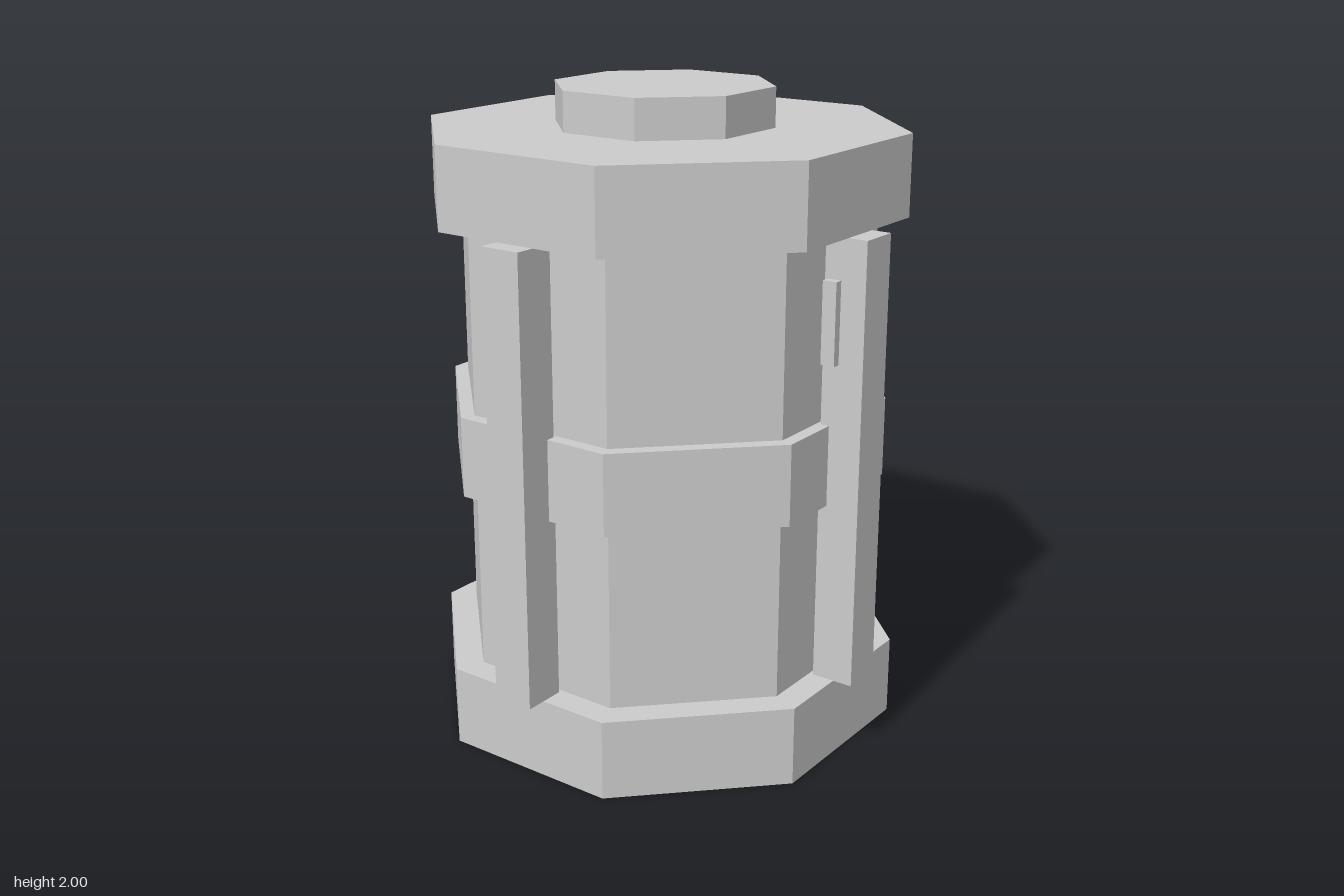
import * as THREE from 'three';

export function createModel() {
  const group = new THREE.Group();
  group.name = 'octagonalCanister';
  const grey = new THREE.MeshStandardMaterial({ color: 0xcccccc, flatShading: true });
  grey.name = 'plain grey';

  const add = (name, geometry, parent = group) => {
    const mesh = new THREE.Mesh(geometry, grey);
    mesh.name = name;
    parent.add(mesh);
    return mesh;
  };

  // Octagonal prism with flat sides facing the axes, sized by its half width
  const octagon = (name, halfWidth, y0, y1) => {
    const r = halfWidth / Math.cos(Math.PI / 8);
    const geometry = new THREE.CylinderGeometry(r, r, y1 - y0, 8, 1, false, Math.PI / 8);
    add(name, geometry).position.y = (y0 + y1) / 2;
  };

  octagon('base', 0.692, 0, 0.25);
  octagon('body', 0.607, 0.25, 1.628);
  octagon('middleBand', 0.648, 0.813, 1.063);
  octagon('lid', 0.692, 1.628, 1.878);
  octagon('topKnob', 0.316, 1.878, 2);

  // Four upright ribs standing just clear of the body
  const ribGeometry = new THREE.BoxGeometry(0.132, 1.378, 0.134);
  for (let i = 0; i < 4; i++) {
    const a = (i * Math.PI) / 2;
    const rib = add('rib', ribGeometry);
    rib.position.set(Math.sin(a) * 0.687, 0.939, Math.cos(a) * 0.687);
    rib.rotation.y = a;
  }

  // Small plate crossing the front rib
  add('frontPlate', new THREE.BoxGeometry(0.184, 0.25, 0.045)).position.set(0, 1.378, 0.651);

  return group;
}
